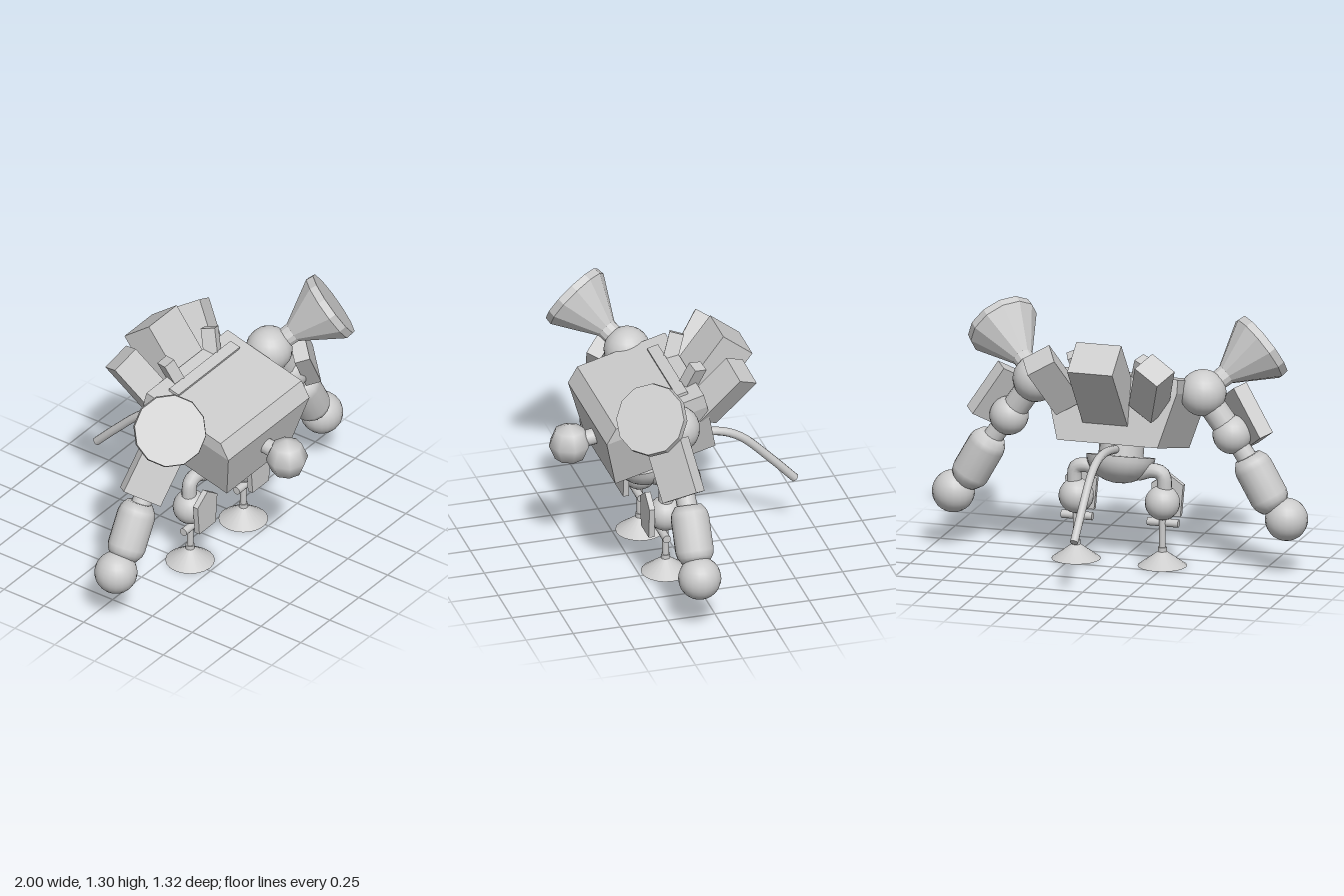
import * as THREE from 'three';
import { ConvexGeometry } from 'three/addons/geometries/ConvexGeometry.js';

const smooth = new THREE.MeshStandardMaterial({ color: 0xcccccc });
const flat = new THREE.MeshStandardMaterial({ color: 0xcccccc, flatShading: true });
const V = (x, y, z) => new THREE.Vector3(x, y, z);
const UP = V(0, 1, 0);

function add(parent, name, geometry, material = smooth, pos = V(0, 0, 0)) {
  const mesh = new THREE.Mesh(geometry, material);
  mesh.name = name;
  mesh.position.copy(pos);
  parent.add(mesh);
  return mesh;
}

function ball(parent, name, pos, r, w = 20, h = 14) {
  return add(parent, name, new THREE.SphereGeometry(r, w, h), smooth, pos);
}

// Cylinder running from a to b
function rod(parent, name, a, b, r, rEnd = r) {
  const dir = b.clone().sub(a);
  const m = add(parent, name, new THREE.CylinderGeometry(rEnd, r, dir.length(), 14),
    smooth, a.clone().add(b).multiplyScalar(0.5));
  m.quaternion.setFromUnitVectors(UP, dir.normalize());
  return m;
}

// Box oriented by its own x and y directions
function block(parent, name, pos, xDir, yDir, size) {
  const m = add(parent, name, new THREE.BoxGeometry(...size), flat, pos);
  const y = yDir.clone().normalize();
  const x = xDir.clone().addScaledVector(y, -xDir.dot(y)).normalize();
  m.quaternion.setFromRotationMatrix(
    new THREE.Matrix4().makeBasis(x, y, x.clone().cross(y)));
  return m;
}

// Lathe whose axis starts at pos and points along dir
function turned(parent, name, profile, sides, pos, dir, material = smooth) {
  const pts = profile.map(([r, y]) => new THREE.Vector2(r, y));
  const m = add(parent, name, new THREE.LatheGeometry(pts, sides), material, pos);
  m.quaternion.setFromUnitVectors(UP, dir.clone().normalize());
  return m;
}

function buildArm(s) {
  const P = (x, y, z) => V(s * x, y, z);
  const arm = new THREE.Group();
  arm.name = s > 0 ? 'leftArm' : 'rightArm';
  const shoulder = P(0.445, 0.927, 0.113);
  const elbow = P(0.595, 0.715, 0.13);
  const hand = P(0.888, 0.295, 0.121);
  ball(arm, 'shoulder', shoulder, 0.12);
  rod(arm, 'upperArm', shoulder, elbow, 0.068);
  ball(arm, 'elbow', elbow, 0.1);
  rod(arm, 'elbowRod', elbow, P(0.72, 0.54, 0.122), 0.052);
  turned(arm, 'forearm',
    [[0, -0.15], [0.068, -0.15], [0.092, -0.115], [0.099, -0.085], [0.099, 0.085],
      [0.092, 0.115], [0.068, 0.15], [0, 0.15]],
    16, P(0.754, 0.478, 0.121), P(-0.49, 0.87, 0));
  ball(arm, 'hand', hand, 0.11);
  block(arm, 'armPlate', P(0.653, 0.807, 0.18), P(-0.65, -0.34, 0.68),
    P(-0.53, 0.83, 0.14), [0.214, 0.289, 0.08]);
  // Flared horn with a short rim and a closed mouth
  turned(arm, 'horn',
    [[0, 0.05], [0.05, 0.05], [0.055, 0.15], [0.187, 0.365], [0.183, 0.405], [0, 0.405]],
    12, shoulder, P(0.65, 0.55, 0.54), flat);
  return arm;
}

function buildLeg(s) {
  const P = (x, y, z) => V(s * x, y, z);
  const leg = new THREE.Group();
  leg.name = s > 0 ? 'leftLeg' : 'rightLeg';
  const hip = new THREE.CatmullRomCurve3(
    [P(0.1, 0.47, 0.12), P(0.18, 0.495, 0.11), P(0.23, 0.48, 0.11), P(0.243, 0.38, 0.11)]);
  add(leg, 'hipPipe', new THREE.TubeGeometry(hip, 12, 0.038, 12));
  ball(leg, 'knee', P(0.23, 0.33, 0.11), 0.09);
  // Five-sided knee shield
  const shape = new THREE.Shape([[-0.07, -0.105], [0.07, -0.105], [0.085, 0.06],
    [0, 0.12], [-0.085, 0.06]].map(([x, y]) => new THREE.Vector2(x, y)));
  const shield = new THREE.ExtrudeGeometry(shape, { depth: 0.03, bevelEnabled: false });
  add(leg, 'kneeShield', shield, flat, P(0.23, 0.345, 0.188));
  rod(leg, 'ankleBar', P(0.147, 0.222, 0.125), P(0.312, 0.222, 0.125), 0.021);
  rod(leg, 'shin', P(0.23, 0.07, 0.108), P(0.23, 0.27, 0.11), 0.017);
  rod(leg, 'ankleCollar', P(0.23, 0.065, 0.108), P(0.23, 0.097, 0.108), 0.023);
  add(leg, 'foot', new THREE.CylinderGeometry(0.022, 0.126, 0.075, 20),
    smooth, P(0.23, 0.0375, 0.108));
  return leg;
}

export function createModel() {
  const model = new THREE.Group();
  model.name = 'robot';

  // Tilted body: [z, y, half width] around the side outline
  const outline = [[-0.065, 1.035, 0.35], [0.4, 0.91, 0.35], [0.449, 0.825, 0.35],
    [0.38, 0.55, 0.268], [-0.15, 0.69, 0.268], [-0.083, 0.965, 0.35]];
  const corners = outline.flatMap(([z, y, w]) => [V(w - 0.018, y, z), V(-w - 0.018, y, z)]);
  add(model, 'body', new ConvexGeometry(corners), flat);
  const tilt = V(0, 0.966, 0.26);
  block(model, 'topBar', V(0, 1.01, 0.028), V(1, 0, 0), tilt, [0.53, 0.03, 0.06]);

  // Nose
  rod(model, 'noseStem', V(0, 0.71, 0.37), V(0, 0.69, 0.5), 0.042);
  ball(model, 'nose', V(0, 0.68, 0.549), 0.109, 8, 4);

  // Back blocks
  block(model, 'backBlock', V(0, 1.0, -0.17), V(1, 0, 0), V(0, 0.79, -0.61),
    [0.24, 0.45, 0.194]);
  for (const s of [1, -1]) {
    block(model, 'sideBlock', V(s * 0.264, 1.01, -0.177), V(s * 0.84, -0.48, -0.23),
      V(s * 0.283, 0.768, -0.571), [0.154, 0.325, 0.133]);
    block(model, 'smallBlock', V(s * 0.165, 1.045, -0.045), V(s * 0.85, -0.35, -0.26),
      V(s * 0.27, 0.9, -0.33), [0.062, 0.18, 0.075]);
    model.add(buildArm(s), buildLeg(s));
  }

  // Pelvis bowl on a short waist
  const bowl = [];
  for (let i = 0; i <= 8; i++) {
    const a = (i / 8) * Math.PI / 2;
    bowl.push([0.176 * Math.sin(a), -0.14 * Math.cos(a)]);
  }
  bowl.push([0.176, 0], [0.115, 0], [0, 0]);
  const hips = V(0, 0.55, 0.137);
  turned(model, 'pelvis', bowl, 24, hips, tilt);
  rod(model, 'waist', hips.clone().addScaledVector(tilt, -0.02),
    hips.clone().addScaledVector(tilt, 0.1), 0.115);

  // Tail with closed ends
  const tailPoints = [[0.1, 0.595], [0.03, 0.612], [-0.15, 0.638], [-0.255, 0.628],
    [-0.36, 0.58], [-0.52, 0.43], [-0.645, 0.3]].map(([z, y]) => V(0, y, z));
  const tail = new THREE.CatmullRomCurve3(tailPoints);
  add(model, 'tail', new THREE.TubeGeometry(tail, 24, 0.022, 10));
  const cap = add(model, 'tailTip', new THREE.CircleGeometry(0.022, 10), smooth, tail.getPoint(1));
  cap.quaternion.setFromUnitVectors(V(0, 0, 1), tail.getTangent(1));

  return model;
}
